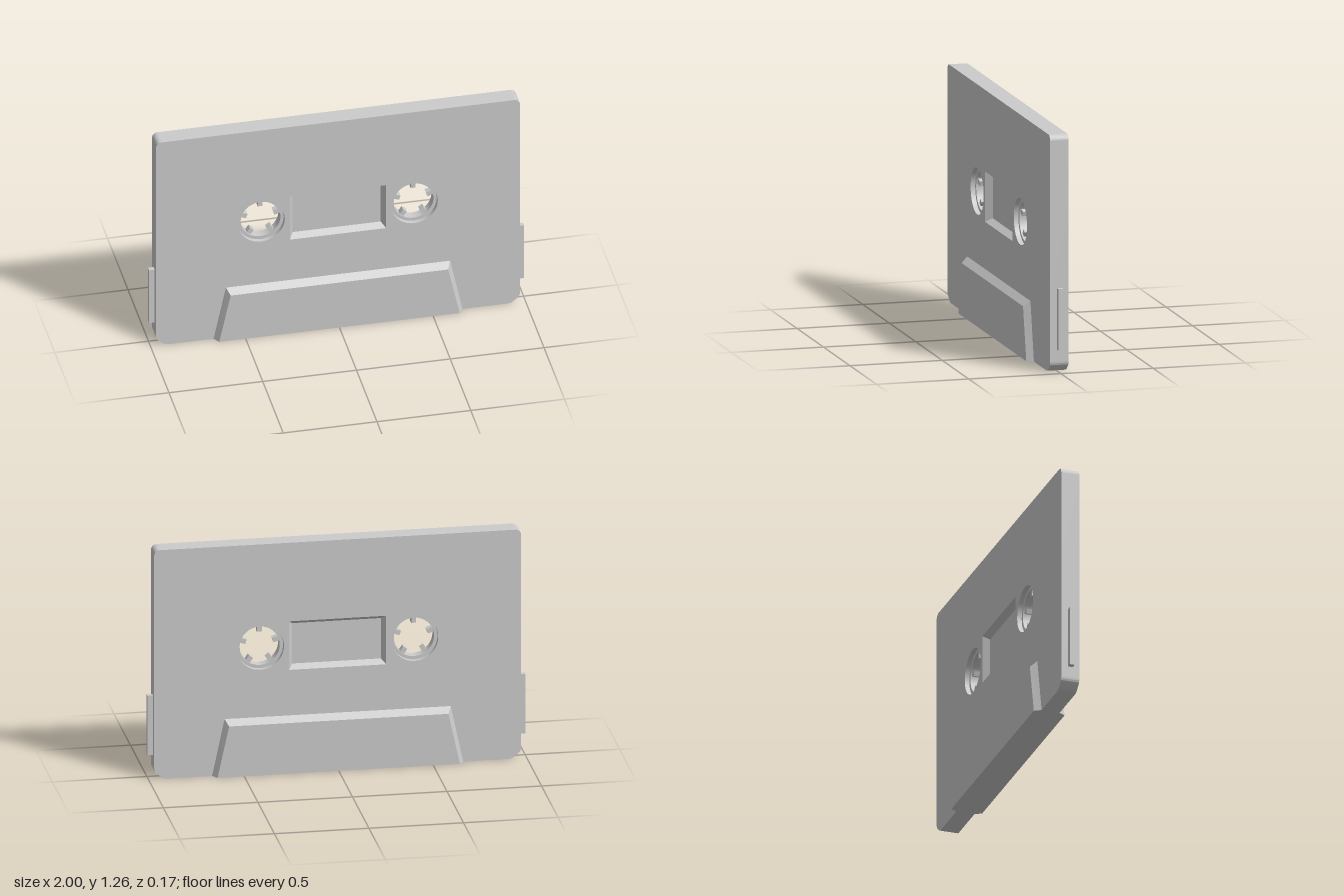
import * as THREE from 'three';
import { toCreasedNormals } from 'three/addons/utils/BufferGeometryUtils.js';

const grey = new THREE.MeshStandardMaterial({ color: 0xcccccc });

const HUB_X = 0.408, HUB_Y = 0.695, HUB_R = 0.124, HUB_INNER = 0.106;
const HALF = 0.05; // half thickness of the shell

function add(parent, name, geometry) {
  const mesh = new THREE.Mesh(geometry, grey);
  mesh.name = name;
  parent.add(mesh);
  return mesh;
}

// Extrude a shape centred on z = 0, smooth along curves and sharp at edges
function slab(shape, depth) {
  const g = new THREE.ExtrudeGeometry(shape, { depth, bevelEnabled: false, curveSegments: 24 });
  g.translate(0, 0, -depth / 2);
  return toCreasedNormals(g, 0.5);
}

function circlePath(x, y, r) {
  return new THREE.Path().absarc(x, y, r, 0, Math.PI * 2, true);
}

// Sloped walls from an outer loop at z0 to an inner loop at z1, closed by a flat face
function bevelPanel(outer, z0, inner, z1) {
  const pos = [];
  const o = outer.map(([x, y]) => [x, y, z0]);
  const n = inner.map(([x, y]) => [x, y, z1]);
  for (let i = 0; i < 4; i++) {
    const j = (i + 1) % 4;
    pos.push(...o[i], ...o[j], ...n[j], ...o[i], ...n[j], ...n[i]);
  }
  pos.push(...n[0], ...n[1], ...n[2], ...n[0], ...n[2], ...n[3]);
  const g = new THREE.BufferGeometry();
  g.setAttribute('position', new THREE.Float32BufferAttribute(pos, 3));
  g.computeVertexNormals();
  return g;
}

// Four corners, counter-clockwise, of a symmetric trapezoid
const trapezoid = (bottomX, topX, y0, y1) =>
  [[-bottomX, y0], [bottomX, y0], [topX, y1], [-topX, y1]];

function shellShape() {
  const w = 0.97, h = 1.263, r = 0.03;
  const s = new THREE.Shape();
  s.moveTo(-0.9, 0);
  s.lineTo(0.9, 0);
  // softened chamfers at the bottom corners
  s.quadraticCurveTo(0.92, 0, 0.932, 0.01);
  s.lineTo(0.958, 0.031);
  s.quadraticCurveTo(w, 0.041, w, 0.06);
  s.lineTo(w, h - r);
  s.absarc(w - r, h - r, r, 0, Math.PI / 2, false);
  s.lineTo(-w + r, h);
  s.absarc(-w + r, h - r, r, Math.PI / 2, Math.PI, false);
  s.lineTo(-w, 0.06);
  s.quadraticCurveTo(-w, 0.041, -0.958, 0.031);
  s.lineTo(-0.932, 0.01);
  s.quadraticCurveTo(-0.92, 0, -0.9, 0);
  for (const side of [-1, 1]) s.holes.push(circlePath(side * HUB_X, HUB_Y, HUB_R));
  const rect = trapezoid(0.257, 0.257, 0.561, 0.829).reverse();
  s.holes.push(new THREE.Path(rect.map(([x, y]) => new THREE.Vector2(x, y))));
  return s;
}

// Ring with five teeth pointing inward
function createHub() {
  const hub = new THREE.Group();
  hub.name = 'hub';
  const ring = new THREE.Shape().absarc(0, 0, HUB_R + 0.002, 0, Math.PI * 2, false);
  ring.holes.push(circlePath(0, 0, HUB_INNER));
  add(hub, 'hubRing', slab(ring, 0.05));
  for (let i = 0; i < 5; i++) {
    const a = Math.PI / 2 + (i * Math.PI * 2) / 5;
    const tooth = add(hub, 'hubTooth', new THREE.BoxGeometry(0.036, 0.026, 0.034));
    tooth.position.set(Math.cos(a) * 0.093, Math.sin(a) * 0.093, 0);
    tooth.rotation.z = a;
  }
  return hub;
}

export function createModel() {
  const model = new THREE.Group();
  model.name = 'cassette';

  add(model, 'shell', slab(shellShape(), HALF * 2));

  // Recessed window and raised tape-head panel, the same on both faces
  for (const angle of [0, Math.PI]) {
    const face = new THREE.Group();
    face.name = angle ? 'backFace' : 'frontFace';
    face.rotation.y = angle;
    add(face, 'window', bevelPanel(
      trapezoid(0.257, 0.257, 0.561, 0.829), HALF,
      trapezoid(0.235, 0.235, 0.583, 0.806), 0.015));
    add(face, 'headPanel', bevelPanel(
      trapezoid(0.664, 0.598, 0, 0.31), HALF,
      trapezoid(0.641, 0.58, 0, 0.28), 0.085));
    model.add(face);
  }

  // Hubs and side tabs, mirrored left and right
  for (const side of [-1, 1]) {
    const hub = createHub();
    hub.position.set(side * HUB_X, HUB_Y, 0);
    model.add(hub);
    const tab = add(model, 'sideTab', new THREE.BoxGeometry(0.04, 0.328, 0.027));
    tab.position.set(side * 0.98, 0.286, 0);
  }
  return model;
}
